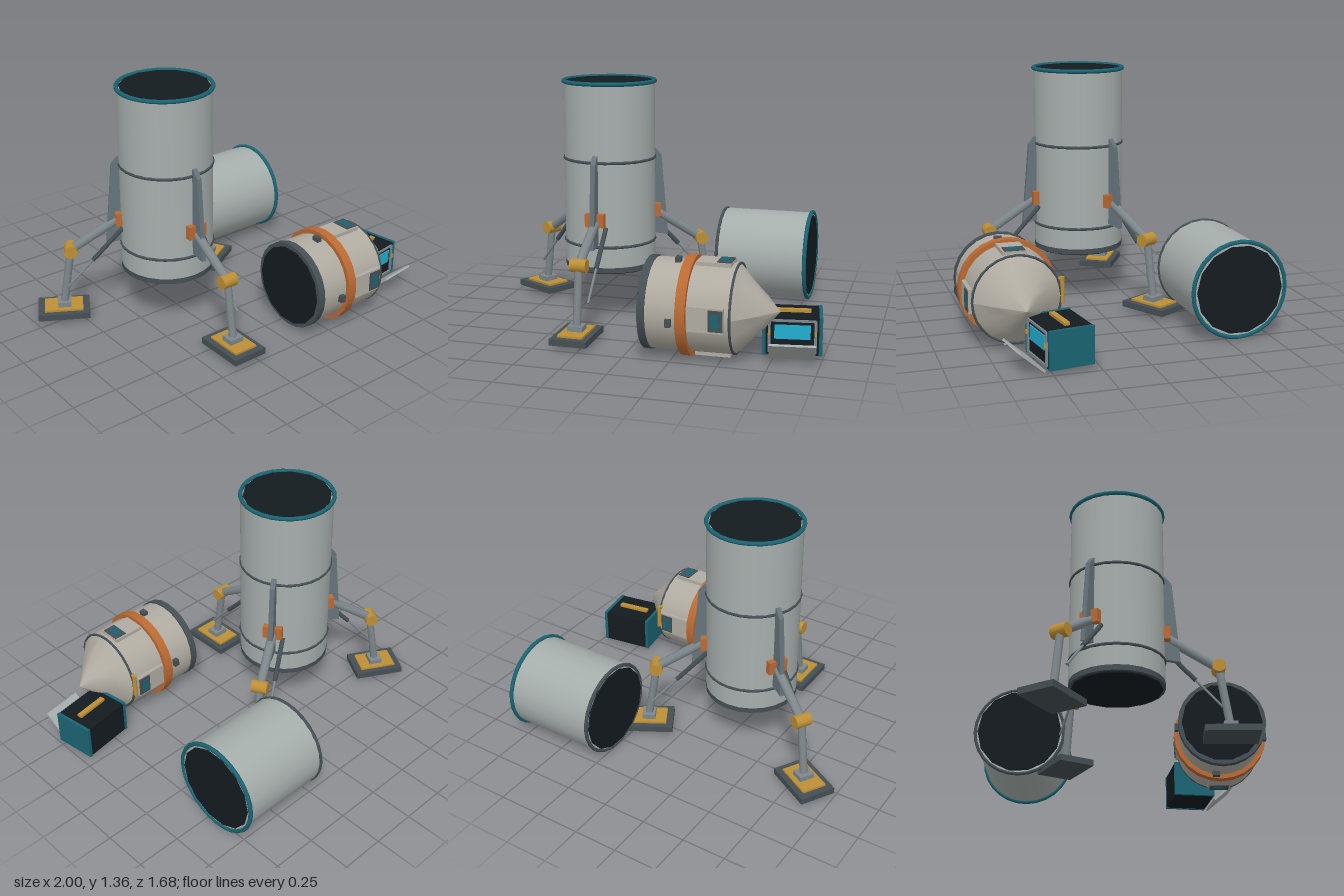
import * as THREE from 'three';

const COLORS = {
  hull: 0xa6aeac, capsule: 0xb0aca2, steel: 0x7d878b, dark: 0x454f54, black: 0x141b20,
  teal: 0x1a6472, orange: 0xbb6a33, yellow: 0xbd8f36, cyan: 0x22aed0, fin: 0x66747b,
};
const MATS = {};
for (const k in COLORS) MATS[k] = new THREE.MeshStandardMaterial({ color: COLORS[k] });

function add(parent, name, geo, mat, x = 0, y = 0, z = 0) {
  const m = new THREE.Mesh(geo, MATS[mat]);
  m.name = name;
  m.position.set(x, y, z);
  parent.add(m);
  return m;
}
function group(parent, name, x = 0, y = 0, z = 0) {
  const g = new THREE.Group();
  g.name = name;
  g.position.set(x, y, z);
  parent.add(g);
  return g;
}
const box = (w, h, d) => new THREE.BoxGeometry(w, h, d);
const cyl = (r, h, n = 24, r2 = r) => new THREE.CylinderGeometry(r2, r, h, n);

// Round beam between two points
function beam(parent, name, a, b, r, mat) {
  const A = new THREE.Vector3(...a), B = new THREE.Vector3(...b);
  const m = add(parent, name, cyl(r, A.distanceTo(B), 10), mat);
  m.position.copy(A).add(B).multiplyScalar(0.5);
  m.quaternion.setFromUnitVectors(new THREE.Vector3(0, 1, 0), B.sub(A).normalize());
  return m;
}
// Horizontal hoop around a vertical axis
function hoop(parent, name, r, tube, y, mat) {
  const m = add(parent, name, new THREE.TorusGeometry(r, tube, 8, 28), mat, 0, y, 0);
  m.rotation.x = Math.PI / 2;
  return m;
}

// Landing leg with fin, reaching out along +z
function landingLeg(parent, angle) {
  const g = group(parent, 'landingLeg');
  g.rotation.y = angle;
  add(g, 'footPad', box(0.205, 0.035, 0.29), 'dark', 0, 0.048, 0.595);
  add(g, 'footPlate', box(0.14, 0.012, 0.215), 'yellow', 0, 0.071, 0.595);
  add(g, 'ankleBlock', box(0.085, 0.03, 0.075), 'steel', 0, 0.09, 0.59);
  beam(g, 'lowerLeg', [0, 0.09, 0.59], [0, 0.42, 0.54], 0.022, 'steel');
  beam(g, 'upperLeg', [0, 0.6, 0.26], [0, 0.42, 0.54], 0.026, 'steel');
  const knee = add(g, 'kneeJoint', cyl(0.037, 0.09, 12), 'yellow', 0, 0.42, 0.54);
  knee.rotation.z = Math.PI / 2;
  add(g, 'hipBracket', box(0.11, 0.075, 0.05), 'orange', 0, 0.607, 0.262);
  // Side strut: thick sleeve with a thin rod
  beam(g, 'strutSleeve', [0.055, 0.56, 0.25], [0.055, 0.375, 0.42], 0.013, 'dark');
  beam(g, 'strutRod', [0.055, 0.375, 0.42], [0.055, 0.22, 0.56], 0.007, 'steel');
  // Tapered fin above the leg
  const s = new THREE.Shape([[0.24, 0.965], [0.265, 0.965], [0.3, 0.92], [0.34, 0.45], [0.24, 0.47]]
    .map(p => new THREE.Vector2(...p)));
  const fin = add(g, 'fin', new THREE.ExtrudeGeometry(s, { depth: 0.028, bevelEnabled: false }), 'fin', 0.014);
  fin.rotation.y = -Math.PI / 2;
}

function lander(parent) {
  const g = group(parent, 'lander', -0.305, 0, 0);
  add(g, 'hull', cyl(0.258, 1.04), 'hull', 0, 0.835, 0);
  add(g, 'baseBand', cyl(0.259, 0.03), 'dark', 0, 0.317, 0);
  add(g, 'baseCover', cyl(0.245, 0.012, 14), 'black', 0, 0.3, 0);
  add(g, 'topCover', cyl(0.245, 0.012, 14), 'black', 0, 1.354, 0);
  hoop(g, 'topRim', 0.258, 0.012, 1.357, 'teal');
  for (const y of [0.45, 0.925]) hoop(g, 'hullBand', 0.256, 0.009, y, 'dark');
  for (let i = 0; i < 3; i++) landingLeg(g, i * Math.PI * 2 / 3);
}

// Drum lying along x; its local y is the model's x
function drum(parent) {
  const g = group(parent, 'drum', 0, 0.278, -0.567);
  g.rotation.z = -Math.PI / 2;
  add(g, 'drumShell', cyl(0.256, 0.53), 'hull', 0, 0.512, 0);
  hoop(g, 'drumRim', 0.259, 0.012, 0.775, 'teal');
  hoop(g, 'drumBackRim', 0.254, 0.01, 0.25, 'dark');
  for (const y of [0.243, 0.776]) add(g, 'drumCover', cyl(0.24, 0.012, 14), 'black', 0, y, 0);
}

// Crumpled nose: a cone whose middle rings are pushed in and out around the axis
function noseGeometry() {
  const geo = new THREE.ConeGeometry(0.235, 0.22, 14, 3);
  const p = geo.attributes.position;
  for (let i = 0; i < p.count; i++) {
    const x = p.getX(i), z = p.getZ(i), y = p.getY(i);
    if (Math.abs(y) > 0.1) continue;
    const k = 1 + 0.07 * Math.sin(5 * Math.atan2(z, x) + 18 * y);
    p.setXYZ(i, x * k, y, z * k);
  }
  geo.computeVertexNormals();
  return geo;
}

// Capsule lying along x; its local y is the model's x
function capsule(parent) {
  const g = group(parent, 'capsule', 0, 0.27, 0.58);
  g.rotation.z = -Math.PI / 2;
  add(g, 'capsuleShell', cyl(0.24, 0.45, 24, 0.236), 'capsule', 0, 0.35, 0);
  add(g, 'tailBand', cyl(0.246, 0.04), 'dark', 0, 0.12, 0);
  add(g, 'tailCover', cyl(0.225, 0.01, 14), 'black', 0, 0.098, 0);
  add(g, 'girdle', cyl(0.263, 0.052), 'orange', 0, 0.328, 0);
  hoop(g, 'noseSeam', 0.233, 0.007, 0.574, 'dark');
  add(g, 'nose', noseGeometry(), 'capsule', 0, 0.682, 0);
  // Four hatches with windows and hinge blocks
  for (let i = 0; i < 4; i++) {
    const h = group(g, 'hatch');
    h.rotation.y = i * Math.PI / 2;
    add(h, 'hatchPanel', box(0.13, 0.185, 0.03), 'capsule', 0, 0.455, 0.233);
    add(h, 'hatchFrame', box(0.11, 0.075, 0.012), 'dark', 0, 0.508, 0.247);
    add(h, 'hatchWindow', box(0.07, 0.04, 0.012), 'teal', 0, 0.505, 0.251);
    add(h, 'hatchHinge', box(0.04, 0.03, 0.03), 'dark', 0.03, 0.265, 0.245);
  }
  // Grab rail on the far side
  beam(g, 'grabRail', [0.04, 0.572, -0.24], [-0.1, 0.572, -0.24], 0.013, 'yellow');
  for (const x of [0.03, -0.09]) beam(g, 'railMount', [x, 0.565, -0.2], [x, 0.572, -0.24], 0.01, 'yellow');
}

// Equipment box with a screen and a fold-down door
function equipmentBox(parent) {
  const g = group(parent, 'equipmentBox', 0.83, 0.13, 0.425);
  g.rotation.y = 0.15;
  add(g, 'case', box(0.28, 0.195, 0.235), 'black');
  for (const s of [-1, 1]) {
    add(g, 'endPanel', box(0.018, 0.2, 0.24), 'teal', s * 0.145);
    add(g, 'screenPost', box(0.014, 0.17, 0.014), 'steel', s * 0.118, 0, 0.12);
    add(g, 'latch', box(0.014, 0.022, 0.014), 'yellow', s * 0.118, 0.02, 0.128);
    add(g, 'frontRail', box(0.24, 0.012, 0.012), 'steel', 0, s * 0.085, 0.12);
  }
  add(g, 'screen', box(0.185, 0.075, 0.012), 'cyan', 0, 0.025, 0.118);
  add(g, 'handle', box(0.19, 0.018, 0.03), 'yellow', 0, 0.104, 0);
  const door = group(g, 'door', 0, -0.112, 0.128);
  door.rotation.x = 0.86;
  add(door, 'doorPanel', box(0.235, 0.17, 0.012), 'hull', 0, 0.085, 0);
}

export function createModel() {
  const model = new THREE.Group();
  model.name = 'landingSite';
  lander(model);
  drum(model);
  capsule(model);
  equipmentBox(model);
  return model;
}
